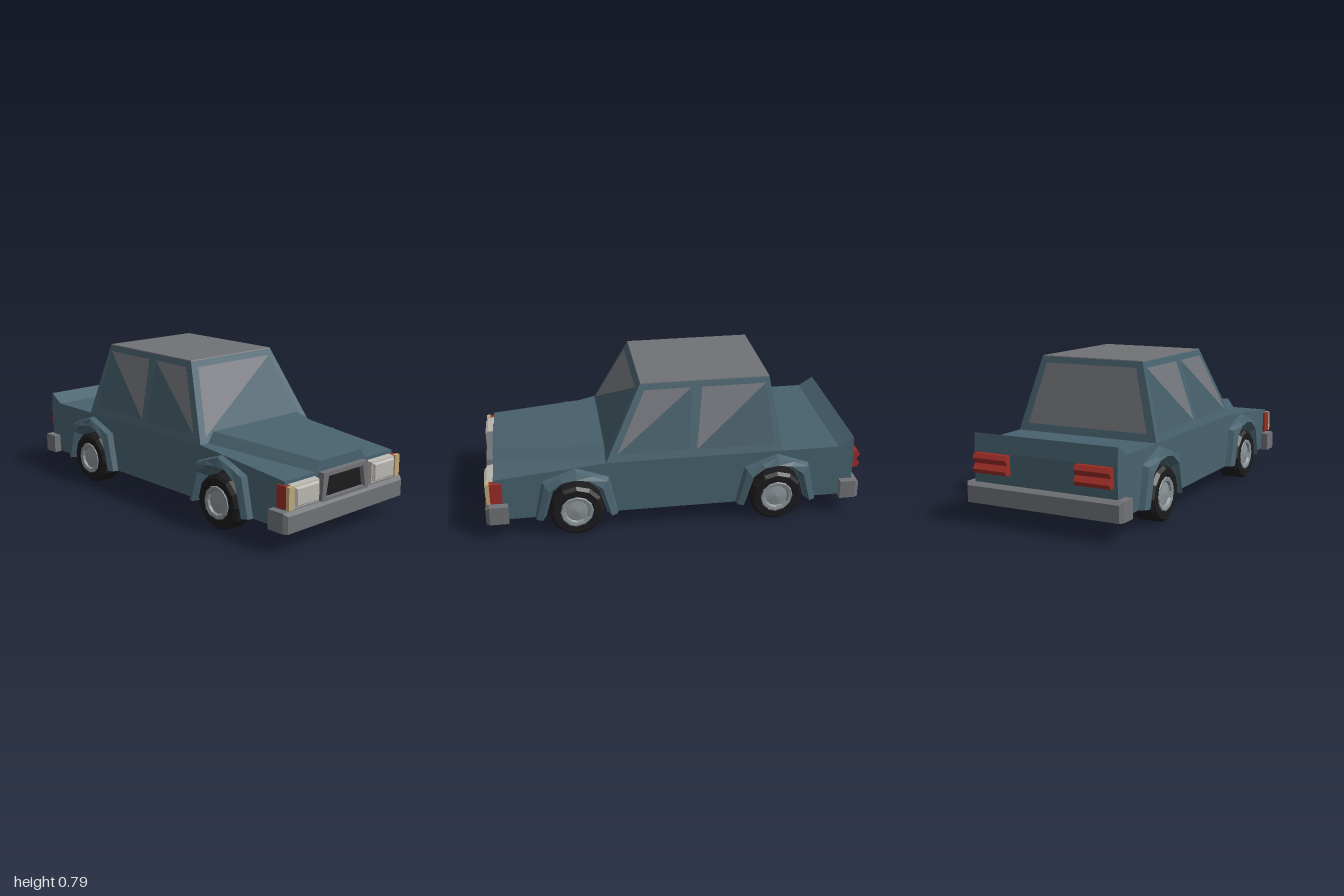
import * as THREE from 'three';
import { ConvexGeometry } from 'three/addons/geometries/ConvexGeometry.js';

const mat = (color, side = THREE.FrontSide) =>
  new THREE.MeshStandardMaterial({ color, side, flatShading: true });
const PAINT = mat(0x48626e), PAINT2 = mat(0x48626e, THREE.DoubleSide);
const GREY = mat(0x707276), BLACK = mat(0x1b1b1d), LAMP = mat(0xb9b7b0);
const AMBER = mat(0xbfa878), RED = mat(0x9c2c26), RIM = mat(0x8a9296);
const GLASS = mat(0x72757b, THREE.DoubleSide), PANE = mat(0x445d69, THREE.DoubleSide);

export function createModel() {
  const car = new THREE.Group();
  car.name = 'car';

  const add = (name, geometry, material, parent = car) => {
    const m = new THREE.Mesh(geometry, material);
    m.name = name;
    parent.add(m);
    return m;
  };
  const hull = (name, pts, material) =>
    add(name, new ConvexGeometry(pts.map(p => new THREE.Vector3(...p))), material);
  // box given by its limits
  const box = (name, x0, x1, y0, y1, z0, z1, material) => {
    const g = new THREE.BoxGeometry(Math.abs(x1 - x0), y1 - y0, z1 - z0);
    g.translate((x0 + x1) / 2, (y0 + y1) / 2, (z0 + z1) / 2);
    return add(name, g, material);
  };
  // rectangle lying in z that shrinks by b towards its outer face
  const lamp = (name, x0, x1, y0, y1, z0, z1, b, material) => hull(name, [
    [x0, y0, z0], [x1, y0, z0], [x1, y1, z0], [x0, y1, z0],
    [x0 + b, y0 + b, z1], [x1 - b, y0 + b, z1], [x1 - b, y1 - b, z1], [x0 + b, y1 - b, z1]], material);
  // side profile of [z, y] points extruded across x0..x1
  const slab = (name, pts, x0, x1, material) => {
    const g = new THREE.ExtrudeGeometry(new THREE.Shape(pts.map(p => new THREE.Vector2(...p))),
      { depth: x1 - x0, bevelEnabled: false });
    g.rotateY(-Math.PI / 2).translate(x1, 0, 0);
    return add(name, g, material);
  };
  // flat polygon as a triangle fan
  const sheet = (name, pts, material) => {
    const v = [];
    for (let i = 1; i < pts.length - 1; i++) v.push(...pts[0], ...pts[i], ...pts[i + 1]);
    const g = new THREE.BufferGeometry();
    g.setAttribute('position', new THREE.Float32BufferAttribute(v, 3));
    g.computeVertexNormals();
    return add(name, g, material);
  };

  // Lower body with wheel openings
  const AXLES = [0.53, -0.535];
  const notch = [[0.16, 0.11], [0.12, 0.25], [0.055, 0.31], [0, 0.315]];
  const both = half => [...half.map(([z, y]) => [-z, y]), ...half.slice(0, -1).reverse()];
  const opening = c => both(notch).map(([z, y]) => [c + z, y]);
  slab('body', [
    [-0.95, 0.11], ...opening(AXLES[1]), ...opening(AXLES[0]),
    [0.87, 0.11], [0.95, 0.13], [0.95, 0.345], [0.37, 0.40],
    [-0.87, 0.40], [-0.95, 0.45], [-0.957, 0.36]], -0.40, 0.40, PAINT);

  // Raised hood
  hull('hood', [-1, 1].flatMap(s => [
    [s * 0.31, 0.455, 0.37], [s * 0.355, 0.39, 0.37],
    [s * 0.15, 0.395, 0.95], [s * 0.19, 0.34, 0.95]]), PAINT);

  // Cabin and roof
  const half = y => 0.40 - (y - 0.40) * 0.282;
  const front = y => 0.37 - (y - 0.40) * 0.5;
  const back = y => -0.565 + (y - 0.40) * 0.167;
  const ring = y => [-1, 1].flatMap(s => [[s * half(y), y, front(y)], [s * half(y), y, back(y)]]);
  hull('cabin', [...ring(0.40), ...ring(0.785)], PAINT);
  hull('roof', [...ring(0.785), ...ring(0.79)], GREY);

  // Windows: a pane with a lighter upper triangle of glass
  const lo = 0.43, hi = 0.755;
  const wind = e => [[-0.355, lo], [-0.26, hi], [0.26, hi], [0.355, lo]]
    .map(([x, y]) => [x, y, front(y) + e]);
  sheet('windshieldPane', wind(0.003), PANE);
  sheet('windshieldGlass', wind(0.006).slice(0, 3), GLASS);
  sheet('rearWindow', [[-0.345, 0.44], [-0.26, hi], [0.26, hi], [0.345, 0.44]]
    .map(([x, y]) => [x, y, back(y) - 0.004]), GLASS);
  for (const s of [-1, 1]) {
    const panes = {
      frontSide: [[0.31, 0.44], [0.155, hi], [-0.09, hi], [-0.07, 0.44]],
      rearSide: [[-0.107, 0.44], [-0.145, hi], [-0.48, hi], [-0.52, 0.44]],
    };
    for (const [name, p] of Object.entries(panes)) {
      const at = e => p.map(([z, y]) => [s * (half(y) + e), y, z]);
      sheet(name + 'Pane', at(0.002), PANE);
      sheet(name + 'Glass', at(0.004).slice(0, 3), GLASS);
    }
  }

  // Chassis, inner tub and floor
  hull('chassis', [-0.22, 0.22].flatMap(x => [
    [x, 0.07, 0.72], [x, 0.115, 0.75], [x, 0.07, -0.71], [x, 0.115, -0.735]]), BLACK);
  box('innerTub', -0.30, 0.30, 0.106, 0.33, -0.94, 0.90, BLACK);
  for (const [a, b] of [[-0.94, -0.695], [-0.375, 0.37], [0.69, 0.86]])
    box('floor', -0.395, 0.395, 0.106, 0.114, a, b, BLACK);

  // Bumpers wrapping round the corners
  for (const [s, end] of [[1, 1], [-1, 0.987]]) {
    const name = s > 0 ? 'frontBumper' : 'rearBumper';
    hull(name, [-1, 1].flatMap(k => [
      [k * 0.44, 0.105, s * 0.945], [k * 0.44, 0.205, s * 0.945],
      [k * 0.44, 0.105, s * (end - 0.02)], [k * 0.44, 0.205, s * (end - 0.02)],
      [k * 0.425, 0.105, s * end], [k * 0.425, 0.19, s * end]]), GREY);
    for (const k of [-1, 1])
      box(name + 'End', k * 0.395, k * 0.44, 0.105, 0.205,
        Math.min(s * 0.883, s * 0.95), Math.max(s * 0.883, s * 0.95), GREY);
  }

  // Grille: sloping frame around a dark recess
  const trap = (a, b, y0, y1) => [[-a, y0], [a, y0], [b, y1], [-b, y1]].map(p => new THREE.Vector2(...p));
  const frame = new THREE.Shape(trap(0.175, 0.165, 0.20, 0.343));
  frame.holes.push(new THREE.Path(trap(0.148, 0.128, 0.215, 0.323)));
  const frameGeo = new THREE.ExtrudeGeometry(frame, { depth: 0.04, bevelEnabled: false });
  add('grilleFrame', frameGeo.translate(0, 0, 0.945), GREY);
  box('grilleRecess', -0.15, 0.15, 0.21, 0.33, 0.94, 0.96, BLACK);

  for (const s of [-1, 1]) {
    // Headlight, corner marker and side marker
    const span = (a, b) => (s > 0 ? [a, b] : [-b, -a]);
    lamp('headlight', ...span(0.19, 0.38), 0.21, 0.33, 0.94, 0.985, 0.006, LAMP);
    lamp('headlightLens', ...span(0.2, 0.372), 0.218, 0.322, 0.98, 0.998, 0.012, LAMP);
    box('cornerMarker', ...span(0.378, 0.413), 0.213, 0.328, 0.972, 0.992, AMBER);
    box('sideMarker', ...span(0.37, 0.411), 0.213, 0.326, 0.91, 0.972, RED);

    // Ridged tail light
    slab('tailLight', [
      [-0.95, 0.258], [-0.985, 0.258], [-1, 0.28], [-0.98, 0.307], [-1, 0.335],
      [-0.985, 0.357], [-0.95, 0.357]].reverse(), ...span(0.19, 0.38), RED);
  }

  // Wheel arch flares: four-point sections joined round the opening
  const outer = both([[0.22, 0.11], [0.175, 0.32], [0.09, 0.353], [0, 0.385]]);
  const crest = both([[0.21, 0.11], [0.163, 0.31], [0.085, 0.345], [0, 0.375]]);
  const lip = both([[0.18, 0.11], [0.137, 0.275], [0.07, 0.325], [0, 0.335]]);
  const inner = both(notch);
  const flare = (c, s) => {
    const rows = outer.map((_, i) => [[outer[i], 0.395], [crest[i], 0.43], [lip[i], 0.445], [inner[i], 0.395]]
      .map(([[z, y], x]) => [s * x, y, c + z]));
    const v = [];
    const quad = (a, b, d, e) => v.push(...a, ...b, ...d, ...a, ...d, ...e);
    for (let i = 0; i < rows.length - 1; i++)
      for (let j = 0; j < 4; j++) {
        const k = (j + 1) % 4;
        if (s > 0) quad(rows[i][j], rows[i][k], rows[i + 1][k], rows[i + 1][j]);
        else quad(rows[i][j], rows[i + 1][j], rows[i + 1][k], rows[i][k]);
      }
    quad(...rows[0]);
    quad(...rows.at(-1));
    const g = new THREE.BufferGeometry();
    g.setAttribute('position', new THREE.Float32BufferAttribute(v, 3));
    g.computeVertexNormals();
    add('wheelArch', g, PAINT2);
  };

  // Wheels: chamfered tyre with a rim and shallow hub cone
  const lathe = pts => new THREE.LatheGeometry(pts.map(p => new THREE.Vector2(...p)), 12);
  const tyre = lathe([[0, -0.065], [0.125, -0.065], [0.143, -0.05], [0.143, 0.048],
    [0.127, 0.065], [0.09, 0.065], [0.08, 0.045], [0, 0.045]]);
  const rim = lathe([[0.09, 0.055], [0.083, 0.067], [0.066, 0.064], [0.06, 0.052], [0, 0.062]]);
  for (const c of AXLES)
    for (const s of [-1, 1]) {
      flare(c, s);
      const wheel = new THREE.Group();
      wheel.name = (c > 0 ? 'front' : 'rear') + (s > 0 ? 'Left' : 'Right') + 'Wheel';
      add('tyre', tyre, BLACK, wheel);
      add('rim', rim, RIM, wheel);
      wheel.position.set(s * 0.375, 0.145, c);
      wheel.rotation.z = -s * Math.PI / 2;
      car.add(wheel);
    }

  return car;
}
